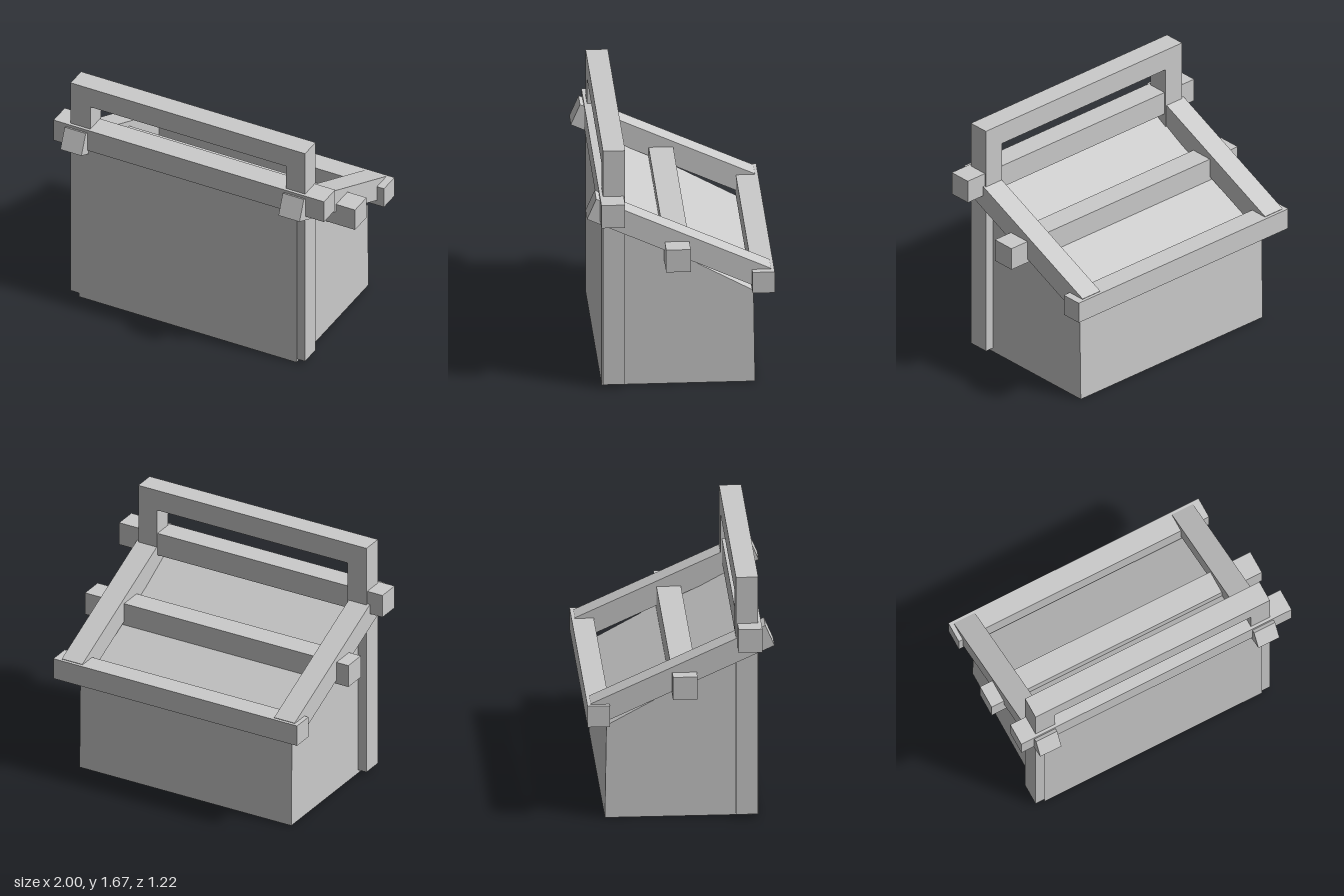
import * as THREE from 'three';

const material = new THREE.MeshStandardMaterial({ color: 0xcccccc, flatShading: true });

// Box given by its minimum and maximum corners
function block(name, [x0, y0, z0], [x1, y1, z1]) {
  const mesh = new THREE.Mesh(new THREE.BoxGeometry(x1 - x0, y1 - y0, z1 - z0), material);
  mesh.position.set((x0 + x1) / 2, (y0 + y1) / 2, (z0 + z1) / 2);
  mesh.name = name;
  return mesh;
}

// Extrude an outline along +z by depth
function extrude(points, depth) {
  const shape = new THREE.Shape(points.map(([a, b]) => new THREE.Vector2(a, b)));
  return new THREE.ExtrudeGeometry(shape, { depth, bevelEnabled: false });
}

// Side outline given as [z, y], spanning x0 to x1
function sideProfile(name, points, x0, x1) {
  const geometry = extrude(points.map(([z, y]) => [-z, y]), x1 - x0);
  geometry.rotateY(Math.PI / 2).translate(x0, 0, 0);
  const mesh = new THREE.Mesh(geometry, material);
  mesh.name = name;
  return mesh;
}

export function createModel() {
  const model = new THREE.Group();
  model.name = 'slopedBin';

  // Solid body with a sloping top and slightly leaning back
  model.add(sideProfile('body',
    [[0.51, 0], [-0.49, 0], [-0.48, 0.64], [0.51, 1.18]], -0.82, 0.78));

  // Tall inverted-U frame at the front
  const frame = extrude([
    [-0.885, 0.025], [-0.74, 0.025], [-0.74, 1.525], [0.7, 1.525],
    [0.7, 0.025], [0.84, 0.025], [0.84, 1.67], [-0.885, 1.67],
  ], 0.145);
  frame.translate(0, 0, 0.36);
  const frameMesh = new THREE.Mesh(frame, material);
  frameMesh.name = 'handleFrame';
  model.add(frameMesh);

  // Two sloping rails
  const rail = [[0.61, 1.2], [0.55, 1.34], [-0.59, 0.822], [-0.53, 0.68]];
  model.add(sideProfile('rightRail', rail, -0.905, -0.75));
  model.add(sideProfile('leftRail', rail, 0.7, 0.855));

  // Cross beams
  model.add(
    block('frontBeam', [-1, 1.19, 0.37], [0.99, 1.35, 0.525]),
    block('middleBeam', [-0.995, 0.87, -0.057], [0.995, 1.027, 0.103]),
    block('backBeam', [-0.935, 0.672, -0.61], [0.907, 0.818, -0.465]),
  );
  return model;
}
